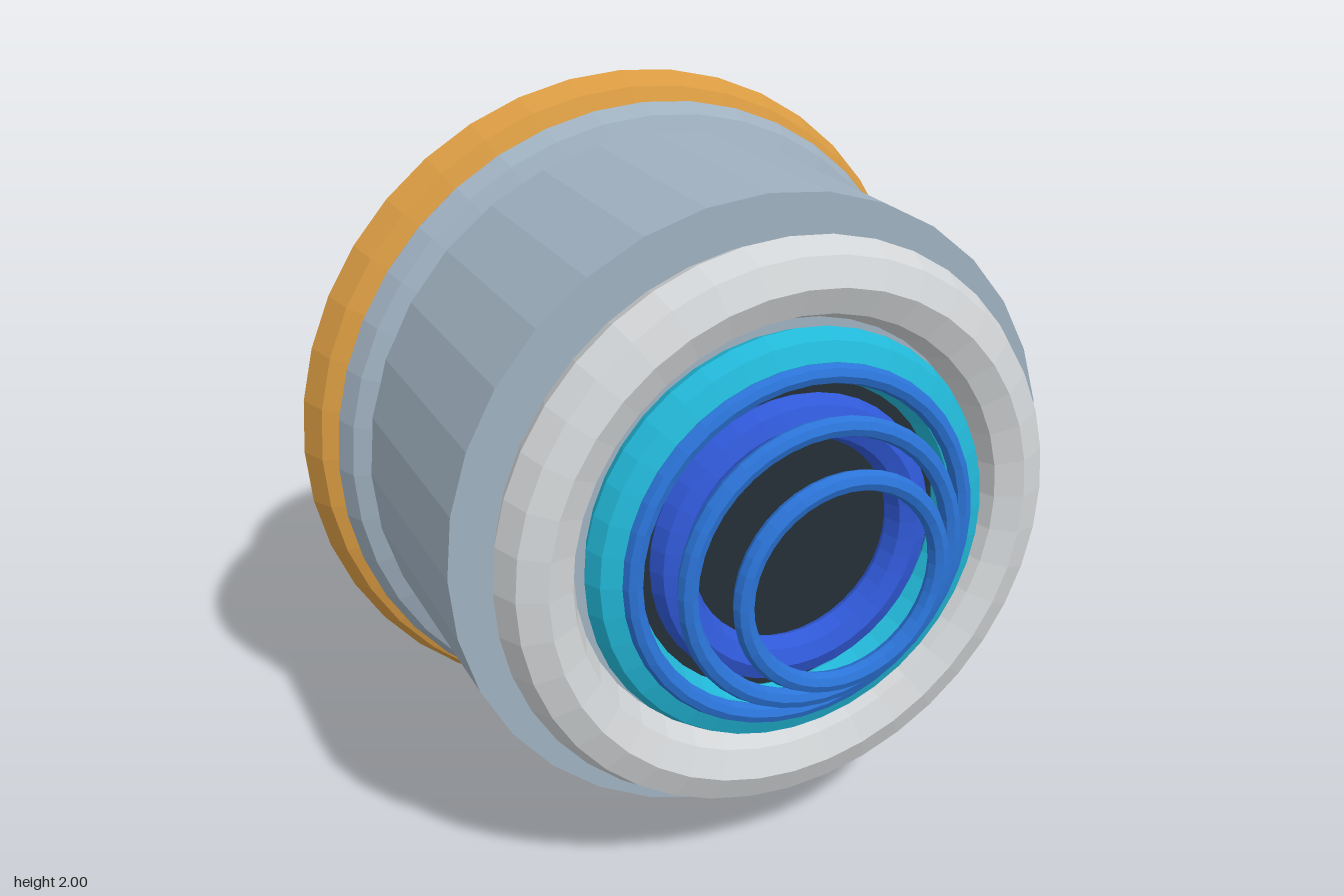
import * as THREE from 'three';

const material = (name, color) => {
  const m = new THREE.MeshStandardMaterial({ color, flatShading: true });
  m.name = name;
  return m;
};

export function createModel() {
  const shell = material('pale steel', 0x9fb0bf);
  const slate = material('slate', 0x64748b);
  const amber = material('amber', 0xd99b42);
  const silver = material('silver', 0xd2d5d7);
  const teal = material('teal', 0x22b8d8);
  const blue = material('bright blue', 0x2b74d8);
  const royal = material('royal blue', 0x3059d8);
  const dark = material('dark glass', 0x242e37);

  const model = new THREE.Group();
  model.name = 'thruster';
  const axis = new THREE.Group(); // everything turns about the z axis at y = 1
  axis.name = 'body';
  axis.position.y = 1;
  model.add(axis);

  const add = (name, geometry, mat, x, y, z) => {
    const mesh = new THREE.Mesh(geometry, mat);
    mesh.name = name;
    mesh.position.set(x, y, z);
    axis.add(mesh);
  };
  // Cylinder along z from z0 to z1
  const drum = (name, radius, z0, z1, mat, sides = 32) =>
    add(name, new THREE.CylinderGeometry(radius, radius, z1 - z0, sides).rotateX(Math.PI / 2),
      mat, 0, 0, (z0 + z1) / 2);
  // Eight-sided ring facing z
  const ring = (name, radius, tube, z, mat, segments = 40) =>
    add(name, new THREE.TorusGeometry(radius, tube, 8, segments), mat, 0, 0, z);

  // Housing
  drum('rearDrum', 0.785, -0.905, -0.4, slate);
  drum('mainDrum', 0.87, -0.45, 0.46, shell);
  ring('collar', 0.855, 0.085, -0.295, shell);
  ring('mountingRing', 0.89, 0.11, -0.45, amber);

  // Nozzle
  ring('frontLip', 0.685, 0.105, 0.565, silver);
  ring('glowRing', 0.5, 0.07, 0.61, teal);
  ring('innerRing', 0.34, 0.06, 0.62, royal);
  drum('core', 0.45, 0.46, 0.6, dark);

  // Floating rings that shrink toward the front
  for (let i = 0; i < 3; i++) {
    ring('pulseRing' + (i + 1), 0.473 - i * 0.1, 0.027, 0.682 + i * 0.1, blue);
  }

  // Hollow pegs behind the mounting ring
  const peg = new THREE.CylinderGeometry(0.043, 0.043, 0.24, 8, 1, true).rotateX(Math.PI / 2);
  for (let i = 0; i < 8; i++) {
    const a = (i * Math.PI) / 4;
    add('peg' + (i + 1), peg, amber, 0.82 * Math.cos(a), 0.82 * Math.sin(a), -0.57);
  }
  return model;
}
